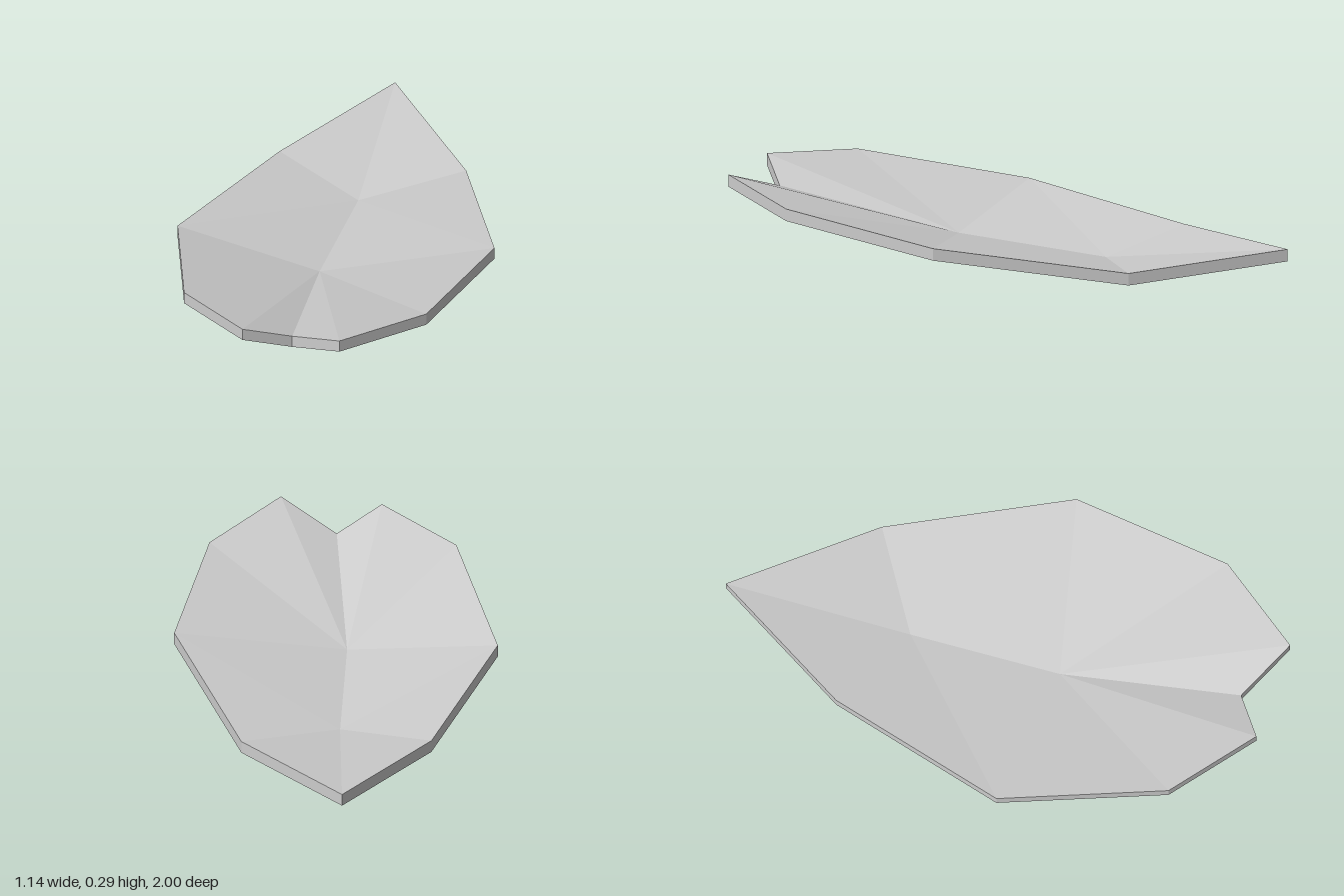
import * as THREE from 'three';

// Rim corners of the underside, from the rear tip along +x to the front notch and back along -x
const rim = [
  [-0.01, 0.083, -1], [0.34, 0.05, -0.52], [0.57, 0.15, 0.13], [0.44, 0.212, 0.71], [0.185, 0.245, 1],
  [-0.01, 0.163, 0.87], [-0.17, 0.23, 0.965], [-0.43, 0.197, 0.71], [-0.57, 0.1, 0.12], [-0.33, 0.05, -0.52],
];
// Low points along the midrib
const rearLow = [-0.01, 0, -0.33];
const middleLow = [-0.04, 0.035, 0.22];
const thickness = 0.044;

function meshFrom(name, triangles, material) {
  const geometry = new THREE.BufferGeometry();
  geometry.setAttribute('position', new THREE.Float32BufferAttribute(triangles.flat(2), 3));
  geometry.computeVertexNormals();
  const mesh = new THREE.Mesh(geometry, material);
  mesh.name = name;
  return mesh;
}

export function createModel() {
  const grey = new THREE.MeshStandardMaterial({ color: 0xcccccc });
  grey.name = 'grey';
  const raise = ([x, y, z]) => [x, y + thickness, z];

  // Faceted dish: a short fan around the rear low point, a longer one around the middle
  const under = [];
  const last = rim.length;
  for (const i of [8, 9, 10, 11]) under.push([rearLow, rim[i % last], rim[(i + 1) % last]]);
  for (let i = 2; i < 8; i++) under.push([middleLow, rim[i], rim[i + 1]]);
  under.push([rearLow, rim[2], middleLow], [rearLow, middleLow, rim[8]]);
  const upper = under.map(([a, b, c]) => [raise(a), raise(c), raise(b)]);

  // Upright band around the outline
  const edge = rim.flatMap((a, i) => {
    const b = rim[(i + 1) % last];
    return [[a, raise(a), raise(b)], [a, raise(b), b]];
  });

  const leaf = new THREE.Group();
  leaf.name = 'leaf';
  leaf.add(meshFrom('upperFace', upper, grey), meshFrom('underside', under, grey), meshFrom('edge', edge, grey));
  return leaf;
}
